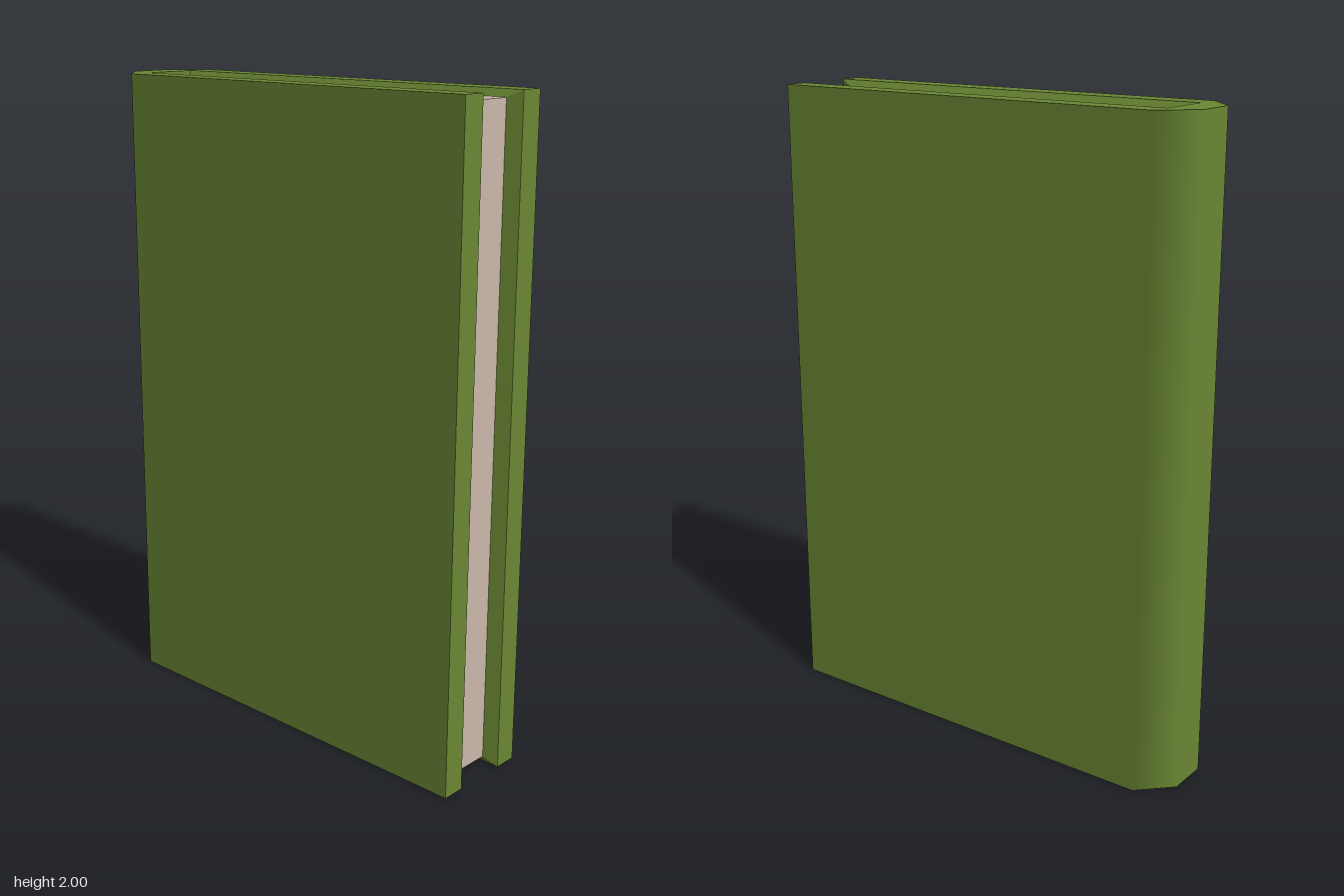
import * as THREE from 'three';

const HEIGHT = 2, FORE = 0.703, HINGE = -0.607, SPINE = -0.703;
const OUTER = 0.162, SPINE_HALF = 0.065, GROOVE = 0.088, PAGE_HALF = 0.075;
const PAGE_FORE = 0.656, INSET = 0.022;

// U-shaped wrap: two boards joined by a chamfered spine
function coverGeometry() {
  const half = [[FORE, GROOVE], [FORE, OUTER], [HINGE, OUTER], [SPINE, SPINE_HALF]];
  const mirrored = half.map(([x, z]) => [x, -z]).reverse();
  const outline = [...half, ...mirrored, [HINGE, -GROOVE], [HINGE, GROOVE]];
  const shape = new THREE.Shape(outline.map(([x, z]) => new THREE.Vector2(x, z)));
  const geometry = new THREE.ExtrudeGeometry(shape, { depth: HEIGHT, bevelEnabled: false });
  geometry.rotateX(-Math.PI / 2);

  // Blend the chamfers smoothly from the flat boards to the flat spine
  const p = geometry.attributes.position, n = geometry.attributes.normal;
  for (let i = 0; i < p.count; i++) {
    if (Math.abs(n.getX(i)) < 0.1 || Math.abs(n.getZ(i)) < 0.1) continue;
    if (p.getX(i) > (HINGE + SPINE) / 2) n.setXYZ(i, 0, 0, Math.sign(n.getZ(i)));
    else n.setXYZ(i, -1, 0, 0);
  }
  return geometry;
}

// Inner board lining, tapering from the board edges down to the page block
function liningGeometry() {
  const base = new THREE.BoxGeometry(1, 1, 1);
  const p = base.attributes.position;
  for (let i = 0; i < p.count; i++) {
    const inner = p.getZ(i) < 0;
    const inset = inner ? INSET : 0;
    p.setXYZ(i,
      p.getX(i) < 0 ? HINGE : (inner ? PAGE_FORE : FORE),
      p.getY(i) < 0 ? inset : HEIGHT - inset,
      inner ? PAGE_HALF : GROOVE);
  }
  const geometry = base.toNonIndexed();
  geometry.computeVertexNormals();
  return geometry;
}

export function createModel() {
  const green = new THREE.MeshStandardMaterial({ name: 'greenCover', color: 0x6b8834 });
  const paper = new THREE.MeshStandardMaterial({ name: 'paper', color: 0xcbb9ab });
  const book = new THREE.Group();
  book.name = 'book';

  const add = (name, geometry, material) => {
    const mesh = new THREE.Mesh(geometry, material);
    mesh.name = name;
    book.add(mesh);
    return mesh;
  };

  add('cover', coverGeometry(), green);

  // Matching linings on the front and back boards
  add('frontLining', liningGeometry(), green);
  const backLining = add('backLining', liningGeometry().rotateX(Math.PI), green);
  backLining.position.y = HEIGHT;

  // Solid block of pages
  const pages = add('pages',
    new THREE.BoxGeometry(PAGE_FORE - HINGE, HEIGHT - 2 * INSET, 2 * PAGE_HALF), paper);
  pages.position.set((PAGE_FORE + HINGE) / 2, HEIGHT / 2, 0);

  return book;
}
